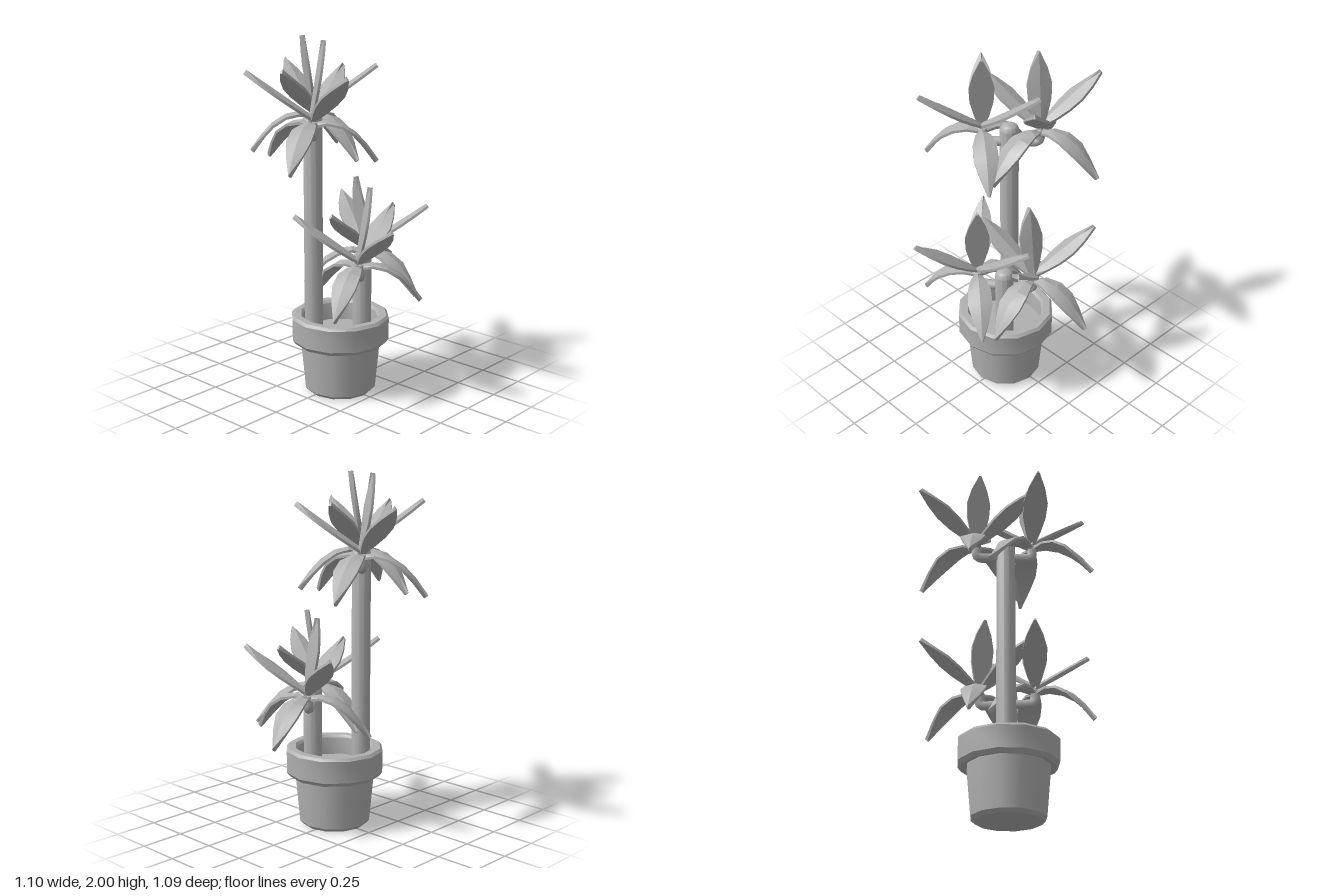
import * as THREE from 'three';
import { toCreasedNormals } from 'three/addons/utils/BufferGeometryUtils.js';

const clay = new THREE.MeshStandardMaterial({ color: 0xb0b0b0 });
clay.name = 'plain grey';

function part(name, geometry, parent) {
  const mesh = new THREE.Mesh(geometry, clay);
  mesh.name = name;
  parent.add(mesh);
  return mesh;
}

function lathe(points, sides) {
  const g = new THREE.LatheGeometry(points.map(([x, y]) => new THREE.Vector2(x, y)), sides);
  return toCreasedNormals(g, 0.6);
}

// Solid leaf: flat underside, ridged top, pointed outline, swept along a path of [out, up] points
const OUTLINE = [0.012, 0.042, 0.064, 0.068, 0.045, 0.006];
function leafGeometry(path) {
  const pos = [], idx = [], n = 5, last = path.length - 1;
  path.forEach(([x, y], i) => {
    const a = path[Math.max(i - 1, 0)], b = path[Math.min(i + 1, last)];
    const t = new THREE.Vector2(b[0] - a[0], b[1] - a[1]).normalize();
    const w = OUTLINE[i], edge = 0.014, ridge = 0.028;
    for (const [s, h] of [[-w, 0], [w, 0], [w, edge], [0, ridge], [-w, edge]]) {
      pos.push(x - t.y * h, y + t.x * h, s);
    }
  });
  for (let i = 0; i < last; i++) {
    for (let j = 0; j < n; j++) {
      const a = i * n + j, b = i * n + (j + 1) % n;
      idx.push(a, a + n, b, b, a + n, b + n);
    }
  }
  for (let j = 1; j < n - 1; j++) {
    idx.push(0, j, j + 1, last * n, last * n + j + 1, last * n + j);
  }
  const g = new THREE.BufferGeometry();
  g.setAttribute('position', new THREE.Float32BufferAttribute(pos, 3));
  g.setIndex(idx);
  return toCreasedNormals(g, 0.4);
}

const straight = (x, y) => [0, 0.2, 0.4, 0.6, 0.8, 1].map((t) => [x * t, y * t]);
const raisedLeaf = leafGeometry(straight(0.365, 0.26));
const uprightLeaf = leafGeometry(straight(0.07, 0.43));
const droopingLeaf = leafGeometry([[0, -0.03], [0.07, -0.015], [0.14, -0.03], [0.21, -0.075], [0.27, -0.14], [0.335, -0.23]]);

// Angles in degrees, measured from +x towards +z
function addLeaf(name, geometry, degrees, parent) {
  part(name, geometry, parent).rotation.y = -THREE.MathUtils.degToRad(degrees);
}

function rosette({ at, raised, drooping, upright }, y) {
  const g = new THREE.Group();
  g.name = 'leafRosette';
  g.position.set(at[0], y, at[1]);
  raised.forEach((d) => addLeaf('raisedLeaf', raisedLeaf, d, g));
  drooping.forEach((d) => addLeaf('droopingLeaf', droopingLeaf, d, g));
  addLeaf('uprightLeaf', uprightLeaf, upright, g);
  return g;
}

// Trunk with a domed top, and an elbowed branch up to each rosette
function stem(name, x, z, top, rosettes) {
  const g = new THREE.Group();
  g.name = name;
  const r = 0.054;
  part('trunk', lathe([[0, 0.3], [r, 0.3], [r, top - 0.035], [r * 0.8, top - 0.012], [r * 0.45, top], [0, top]], 12), g)
    .position.set(x, 0, z);
  const hubY = top - 0.03;
  for (const spec of rosettes) {
    const [hx, hz] = spec.at, low = hubY - 0.08;
    const curve = new THREE.CurvePath();
    const start = new THREE.Vector3(x, low, z);
    const corner = new THREE.Vector3(hx, low, hz);
    const bend = corner.clone().lerp(start, 0.2);
    const rise = corner.clone().setY(low + 0.03);
    const end = corner.clone().setY(hubY - 0.005);
    curve.add(new THREE.LineCurve3(start, bend));
    curve.add(new THREE.QuadraticBezierCurve3(bend, corner, rise));
    curve.add(new THREE.LineCurve3(rise, end));
    part('branch', new THREE.TubeGeometry(curve, 14, 0.028, 8), g);
    const cap = part('branchTip', new THREE.SphereGeometry(0.028, 8, 6), g);
    cap.position.copy(end);
    cap.scale.y = 0.4;
    g.add(rosette(spec, hubY));
  }
  return g;
}

export function createModel() {
  const model = new THREE.Group();
  model.name = 'pottedPlant';

  // Pot with bevelled rim, hollow down to the soil
  const pot = part('pot', lathe([
    [0, 0], [0.185, 0], [0.205, 0.02], [0.23, 0.29], [0.23, 0.3], [0.262, 0.292], [0.28, 0.315],
    [0.282, 0.44], [0.268, 0.455], [0.228, 0.455], [0.215, 0.44], [0.205, 0.34],
  ], 12), model);
  pot.position.set(0.025, 0, 0.005);
  part('soil', lathe([[0.207, 0.342], [0, 0.342]], 12), model).position.copy(pot.position);

  model.add(stem('tallStem', -0.095, 0.095, 1.6, [
    { at: [0.01, 0.2], raised: [18, 133, -106], drooping: [67, 180, -53], upright: -50 },
    { at: [-0.21, -0.025], raised: [200, -39, 73], drooping: [251, 142, 2], upright: 122 },
  ]));
  model.add(stem('shortStem', 0.115, -0.08, 0.815, [
    { at: [0.205, 0.045], raised: [21, 139, -99], drooping: [71, 185, -51], upright: -52 },
    { at: [0.02, -0.21], raised: [206, -32, 80], drooping: [257, 146, -9], upright: 110 },
  ]));
  return model;
}
